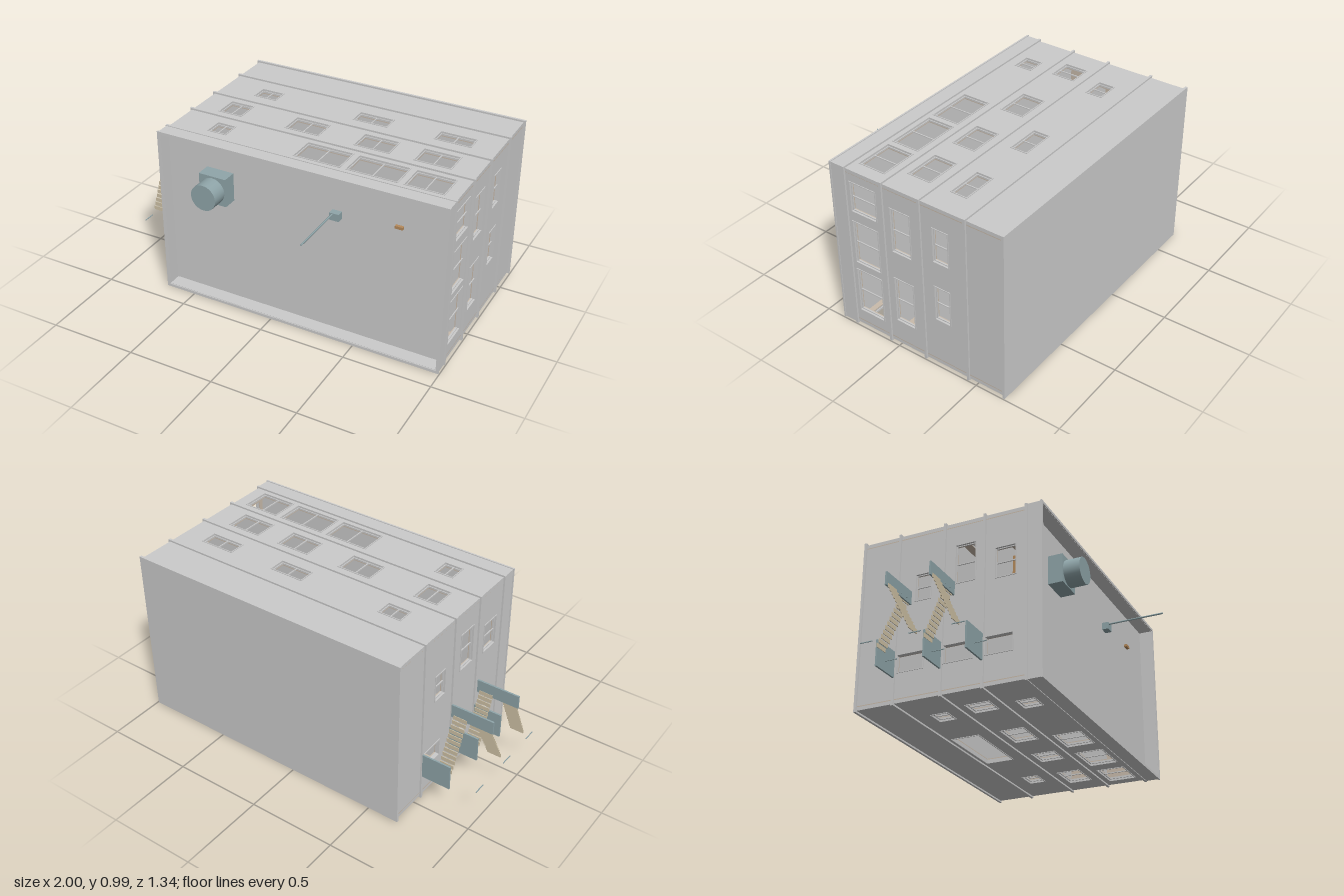
import * as THREE from 'three';

const mat = (color) => new THREE.MeshStandardMaterial({ color });
const GREY = mat(0xcccccc), TAN = mat(0xc9bbab), STEEL = mat(0x8fa5a9);
const TREAD = mat(0xcfc2a6), BROWN = mat(0xb58a5c);

// Building lies on its side: its "up" is +z, the roof faces the front
const X0 = -0.67, X1 = 0.985, Y0 = 0.01, Y1 = 0.98, ZB = -0.665, ZR = 0.3;
const T = 0.02, LINER = 0.005;

function add(parent, name, geo, material) {
  const m = new THREE.Mesh(geo, material);
  m.name = name;
  parent.add(m);
  return m;
}

// Box given by its extents
function box(parent, name, x0, x1, y0, y1, z0, z1, material = GREY) {
  const m = add(parent, name, new THREE.BoxGeometry(x1 - x0, y1 - y0, z1 - z0), material);
  m.position.set((x0 + x1) / 2, (y0 + y1) / 2, (z0 + z1) / 2);
  return m;
}

const rect = (C, a0, a1, b0, b1) => new C([
  new THREE.Vector2(a0, b0), new THREE.Vector2(a1, b0),
  new THREE.Vector2(a1, b1), new THREE.Vector2(a0, b1),
]);
const extrude = (shape, depth) => new THREE.ExtrudeGeometry(shape, { depth, bevelEnabled: false });

// Rectangular ring around an opening, extruded
function ring(a0, a1, b0, b1, w, depth) {
  const s = rect(THREE.Shape, a0 - w, a1 + w, b0 - w, b1 + w);
  s.holes.push(rect(THREE.Path, a0, a1, b0, b1));
  return extrude(s, depth);
}

// Wall with openings [a0, a1, z0, z1, isDoor]; local x runs along the wall, local y is z
function wall(parent, name, axis, offset, outsideFirst, a0, a1, openings) {
  const g = new THREE.Group();
  g.name = name;
  const along = axis === 'y' ? new THREE.Vector3(1, 0, 0) : new THREE.Vector3(0, 1, 0);
  const up = new THREE.Vector3(0, 0, 1);
  const basis = new THREE.Matrix4().makeBasis(along, up, along.clone().cross(up));
  g.quaternion.setFromRotationMatrix(basis);
  g.position[axis] = offset;
  parent.add(g);

  const shape = rect(THREE.Shape, a0, a1, ZB, ZR);
  for (const o of openings) shape.holes.push(rect(THREE.Path, o[0], o[1], o[2], o[3]));
  add(g, name + 'Panel', extrude(shape, T), GREY);
  add(g, name + 'Lining', extrude(shape, LINER), TAN).position.z = outsideFirst ? T : -LINER;

  for (const [p, q, r, s, isDoor] of openings) {
    // casing stands slightly proud of the wall
    const casing = add(g, 'windowCasing', ring(p, q, r, s, 0.005, T + 0.004), GREY);
    casing.position.z = outsideFirst ? -0.004 : 0;
    if (isDoor) continue;
    const w = 0.005;
    const sash = add(g, 'windowSash', ring(p + w, q - w, r + w, s - w, w, 0.006), GREY);
    sash.position.z = T / 2 - 0.003;
    const mid = (p + q) / 2;
    box(g, 'windowMullion', mid - 0.003, mid + 0.003, r, s, T / 2 - 0.003, T / 2 + 0.003);
  }
}

// Flight of treads from (y0, z0) to (y1, z1)
function flight(parent, x, y0, z0, y1, z1) {
  const n = 12;
  for (let i = 0; i < n; i++) {
    const t = (i + 0.5) / n;
    const y = y0 + (y1 - y0) * t, z = z0 + (z1 - z0) * t;
    box(parent, 'stairTread', x - 0.04, x + 0.04, y - 0.0115, y + 0.0115, z - 0.002, z + 0.002, TREAD);
  }
}

export function createModel() {
  const model = new THREE.Group();
  model.name = 'building';

  // Base, floor slabs and roof, whose edges show as raised bands
  const slabs = [['base', ZB], ['firstFloor', -0.445], ['secondFloor', -0.172],
    ['thirdFloor', 0.062], ['roof', ZR]];
  for (const [name, z] of slabs) {
    box(model, name, -0.68, 0.995, 0, 0.99, z - 0.007, z + 0.007);
  }

  // Rows of openings, one per storey
  const A = [0.105, 0.262], B = [-0.122, 0.01], C = [-0.343, -0.252];
  wall(model, 'upperWall', 'y', Y1, true, X0, X1, [
    [-0.455, -0.35, 0.135, 0.235], [0.08, 0.34, ...A], [0.38, 0.66, ...A], [0.7, 0.91, ...A],
    [-0.525, -0.39, ...B], [-0.11, 0.085, ...B], [0.3, 0.495, ...B], [0.64, 0.84, ...B],
    [-0.455, -0.325, ...C], [0.165, 0.36, ...C], [0.64, 0.84, ...C],
  ]);
  wall(model, 'lowerWall', 'y', Y0 + T, false, X0, X1, [
    [-0.44, -0.34, 0.135, 0.235], [0.08, 0.27, ...A], [0.385, 0.61, ...A], [0.71, 0.91, ...A],
    [-0.5, -0.39, ...B], [-0.1, 0.085, ...B], [0.3, 0.43, ...B], [0.65, 0.84, ...B],
    [-0.455, -0.36, ...C], [-0.1, 0.32, -0.415, -0.255, true], [0.64, 0.75, ...C],
  ]);
  wall(model, 'leftWall', 'x', X1 - T, false, Y0 + T, Y1 - T, [
    [0.105, 0.37, 0.107, 0.268], [0.42, 0.672, 0.107, 0.268], [0.737, 0.908, 0.107, 0.268],
    [0.16, 0.43, -0.105, 0.013], [0.6, 0.855, -0.105, 0.013],
    [0.297, 0.5, -0.338, -0.247], [0.655, 0.85, -0.338, -0.247],
  ]);
  wall(model, 'rightWall', 'x', X0, true, Y0 + T, Y1 - T, [
    [0.6, 0.77, 0.125, 0.24], [0.62, 0.84, -0.105, 0.01], [0.57, 0.72, -0.338, -0.25],
    [0.18, 0.275, 0.075, 0.225, true], [0.18, 0.275, -0.16, 0, true],
    [0.18, 0.275, -0.432, -0.28, true],
  ]);

  // Interior wooden cabinet behind the top-storey window
  box(model, 'cabinet', -0.47, -0.34, 0.645, 0.83, 0.125, 0.24, BROWN);

  // Parapet round the roof, with a slim coping
  add(model, 'parapet', ring(-0.662, 0.977, 0.018, 0.972, 0.014, 0.085), GREY).position.z = ZR;
  add(model, 'coping', ring(-0.664, 0.979, 0.016, 0.974, 0.016, 0.01), GREY).position.z = 0.38;

  // Roof fittings: vent, aerial and hatch
  box(model, 'ventBase', -0.425, -0.262, 0.64, 0.805, ZR, 0.39, STEEL);
  const vent = add(model, 'ventDrum', new THREE.CylinderGeometry(0.075, 0.075, 0.1, 24), STEEL);
  vent.rotation.x = Math.PI / 2;
  vent.position.set(-0.344, 0.72, 0.432);
  box(model, 'aerialBase', 0.33, 0.384, 0.714, 0.756, ZR, 0.345, STEEL);
  const aerial = add(model, 'aerial', new THREE.CylinderGeometry(0.005, 0.005, 0.35, 8), STEEL);
  aerial.rotation.x = Math.PI / 2;
  aerial.position.set(0.344, 0.747, 0.495);
  box(model, 'roofBrick', 0.685, 0.728, 0.756, 0.771, ZR, 0.325, BROWN);

  // Fire escape: door platforms, half landings and flights
  const escape = new THREE.Group();
  escape.name = 'fireEscape';
  model.add(escape);
  const levels = [-0.445, -0.175, 0.06], halves = [-0.313, -0.063];
  for (const z of levels) {
    box(escape, 'doorPlatform', -0.845, -0.67, 0.15, 0.295, z - 0.005, z + 0.005, STEEL);
    for (const x of [-0.998, -0.77]) {
      box(escape, 'railPost', x - 0.002, x + 0.002, 0.203, 0.207, z + 0.005, z + 0.075, STEEL);
    }
  }
  halves.forEach((z, i) => {
    box(escape, 'halfLanding', -1, -0.758, 0.5, 0.575, z - 0.005, z + 0.005, STEEL);
    for (const x of [-0.86, -0.81]) {
      box(escape, 'railPost', x - 0.002, x + 0.002, 0.518, 0.522, z, z + 0.01, STEEL);
    }
    flight(escape, -0.812, 0.25, levels[i], 0.515, z);
    flight(escape, -0.945, 0.515, z, 0.245, levels[i + 1]);
  });

  return model;
}
